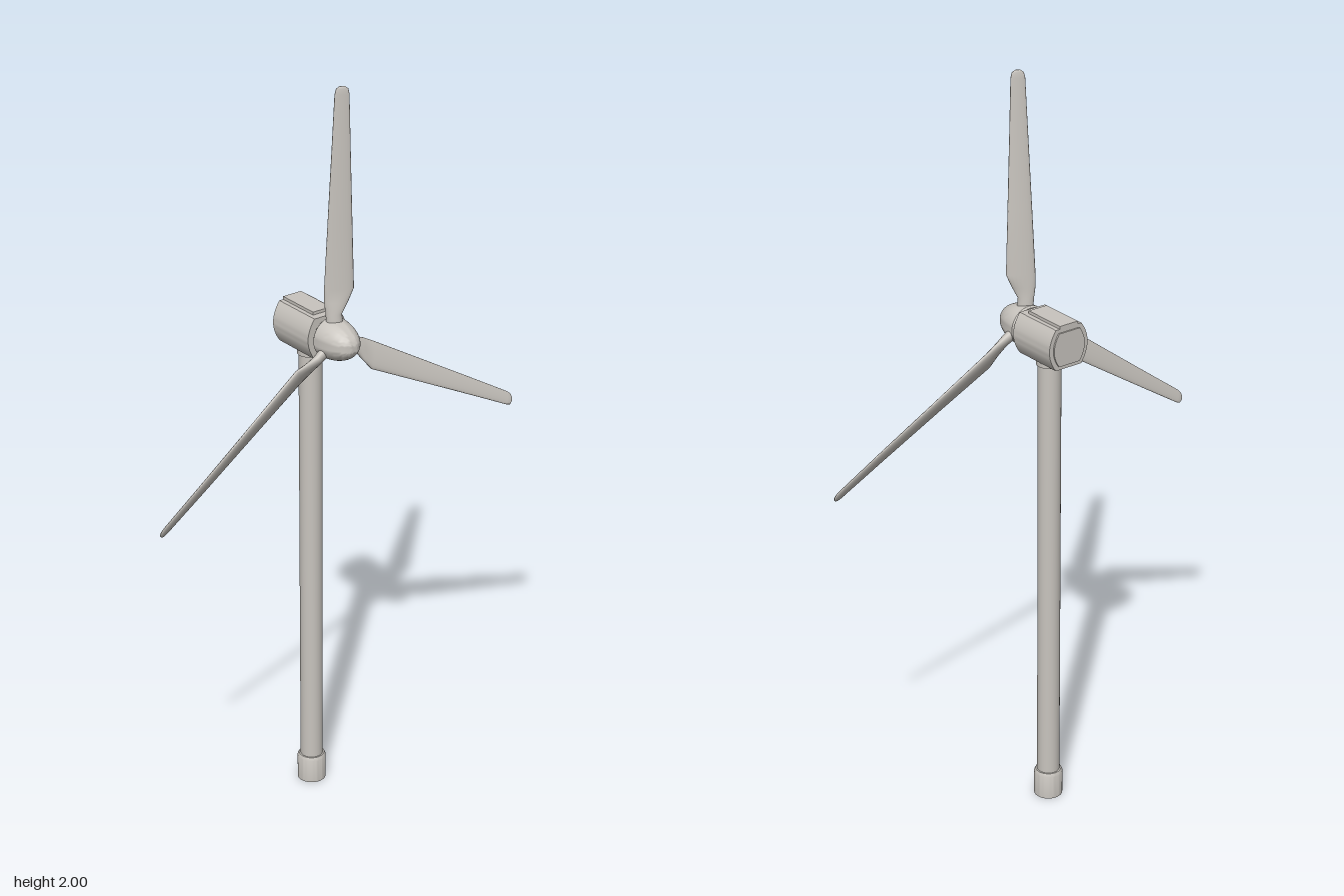
import * as THREE from 'three';
import { toCreasedNormals } from 'three/addons/utils/BufferGeometryUtils.js';

const AXIS_X = -0.013, HUB_Y = 1.34, TOWER_Z = -0.054;

// Surface of revolution about y, with crisp edges
function lathe(points, segments = 40) {
  const profile = points.map(([r, y]) => new THREE.Vector2(r, y));
  return toCreasedNormals(new THREE.LatheGeometry(profile, segments), 0.5);
}

// Blade pointing along +y: lofted ellipses, twisted by their edge depths
function bladeGeometry() {
  // radius, trailing x, leading x, trailing z, leading z, thickness
  const sections = [
    [0.020, -0.018, 0.016, 0.038, 0.062, 0.030],
    [0.070, -0.021, 0.012, 0.036, 0.060, 0.024],
    [0.100, -0.024, 0.026, 0.034, 0.066, 0.020],
    [0.135, -0.024, 0.041, 0.034, 0.070, 0.018],
    [0.300, -0.020, 0.034, 0.042, 0.072, 0.014],
    [0.500, -0.015, 0.026, 0.052, 0.074, 0.011],
    [0.640, -0.011, 0.021, 0.058, 0.075, 0.009],
    [0.654, -0.008, 0.018, 0.060, 0.074, 0.008],
    [0.660, -0.001, 0.011, 0.064, 0.070, 0.004],
  ];
  const n = 20, pos = [], idx = [];
  for (const [r, x0, x1, z0, z1, t] of sections) {
    const chord = Math.hypot(x1 - x0, z1 - z0);
    const ux = (x1 - x0) / chord, uz = (z1 - z0) / chord;
    for (let j = 0; j < n; j++) {
      const a = (j / n) * Math.PI * 2;
      const c = Math.cos(a) * chord / 2, s = Math.sin(a) * t / 2;
      pos.push((x0 + x1) / 2 + ux * c - uz * s, r, (z0 + z1) / 2 + uz * c + ux * s);
    }
  }
  const last = sections.length - 1;
  for (let i = 0; i < last; i++) {
    for (let j = 0; j < n; j++) {
      const k = (j + 1) % n;
      const a = i * n + j, b = i * n + k, c = a + n, d = b + n;
      idx.push(a, c, b, b, c, d);
    }
  }
  // Tip cap
  const tip = pos.length / 3;
  pos.push(0.005, 0.66, 0.067);
  for (let j = 0; j < n; j++) idx.push(tip, last * n + (j + 1) % n, last * n + j);
  const g = new THREE.BufferGeometry();
  g.setAttribute('position', new THREE.Float32BufferAttribute(pos, 3));
  g.setIndex(idx);
  g.computeVertexNormals();
  return g;
}

// Housing section: flat top and bottom, bowed sides
function housingShape(half, bow, low, high) {
  const mid = (low + high) / 2;
  const s = new THREE.Shape();
  s.moveTo(-half, low);
  s.lineTo(half, low);
  s.quadraticCurveTo(bow, mid, half, high);
  s.lineTo(-half, high);
  s.quadraticCurveTo(-bow, mid, -half, low);
  return s;
}

function extrudeZ(shape, z0, z1) {
  const g = new THREE.ExtrudeGeometry(shape, { depth: z1 - z0, bevelEnabled: false, curveSegments: 12 });
  g.translate(0, 0, z0);
  return toCreasedNormals(g, 0.5);
}

export function createModel() {
  const model = new THREE.Group();
  model.name = 'windTurbine';
  const paint = new THREE.MeshStandardMaterial({ color: 0xc8c4be });
  paint.name = 'warmGreyPaint';

  const add = (name, geometry, parent, x = 0, y = 0, z = 0) => {
    const mesh = new THREE.Mesh(geometry, paint);
    mesh.name = name;
    mesh.position.set(x, y, z);
    parent.add(mesh);
    return mesh;
  };

  // Tower with its foot and top collar
  add('towerBase', lathe([[0, 0], [0.038, 0], [0.038, 0.068], [0.034, 0.076], [0, 0.076]]), model, AXIS_X, 0, TOWER_Z);
  add('tower', new THREE.CylinderGeometry(0.03, 0.03, 1.22, 40), model, AXIS_X, 0.675, TOWER_Z);
  add('towerCollar', new THREE.CylinderGeometry(0.034, 0.034, 0.02, 40), model, AXIS_X, 1.277, TOWER_Z);

  // Generator housing
  const nacelle = new THREE.Group();
  nacelle.name = 'nacelle';
  nacelle.position.set(AXIS_X, HUB_Y, 0);
  model.add(nacelle);
  add('housing', extrudeZ(housingShape(0.04, 0.08, -0.056, 0.053), -0.13, 0.016), nacelle);
  add('rearPanel', extrudeZ(housingShape(0.032, 0.064, -0.046, 0.043), -0.134, -0.129), nacelle);
  add('roofHatch', new THREE.BoxGeometry(0.056, 0.01, 0.125), nacelle, 0, 0.056, -0.068);

  // Rotor: shaft, spinner and three blades
  const rotor = new THREE.Group();
  rotor.name = 'rotor';
  rotor.position.set(AXIS_X, HUB_Y, 0);
  model.add(rotor);
  add('shaft', new THREE.CylinderGeometry(0.03, 0.03, 0.03, 32).rotateX(Math.PI / 2), rotor, 0, 0, 0.02);

  const nose = [[0, 0.025], [0.05, 0.025]];
  for (let i = 0; i <= 16; i++) {
    const a = (i / 16) * Math.PI / 2;
    nose.push([0.054 * Math.cos(a), 0.03 + 0.098 * Math.sin(a)]);
  }
  add('spinner', lathe(nose).rotateX(Math.PI / 2), rotor);

  const blade = bladeGeometry();
  [['topBlade', 0], ['rightBlade', 124.4], ['leftBlade', -119.1]].forEach(([name, angle]) => {
    add(name, blade, rotor).rotation.z = THREE.MathUtils.degToRad(angle);
  });

  return model;
}
